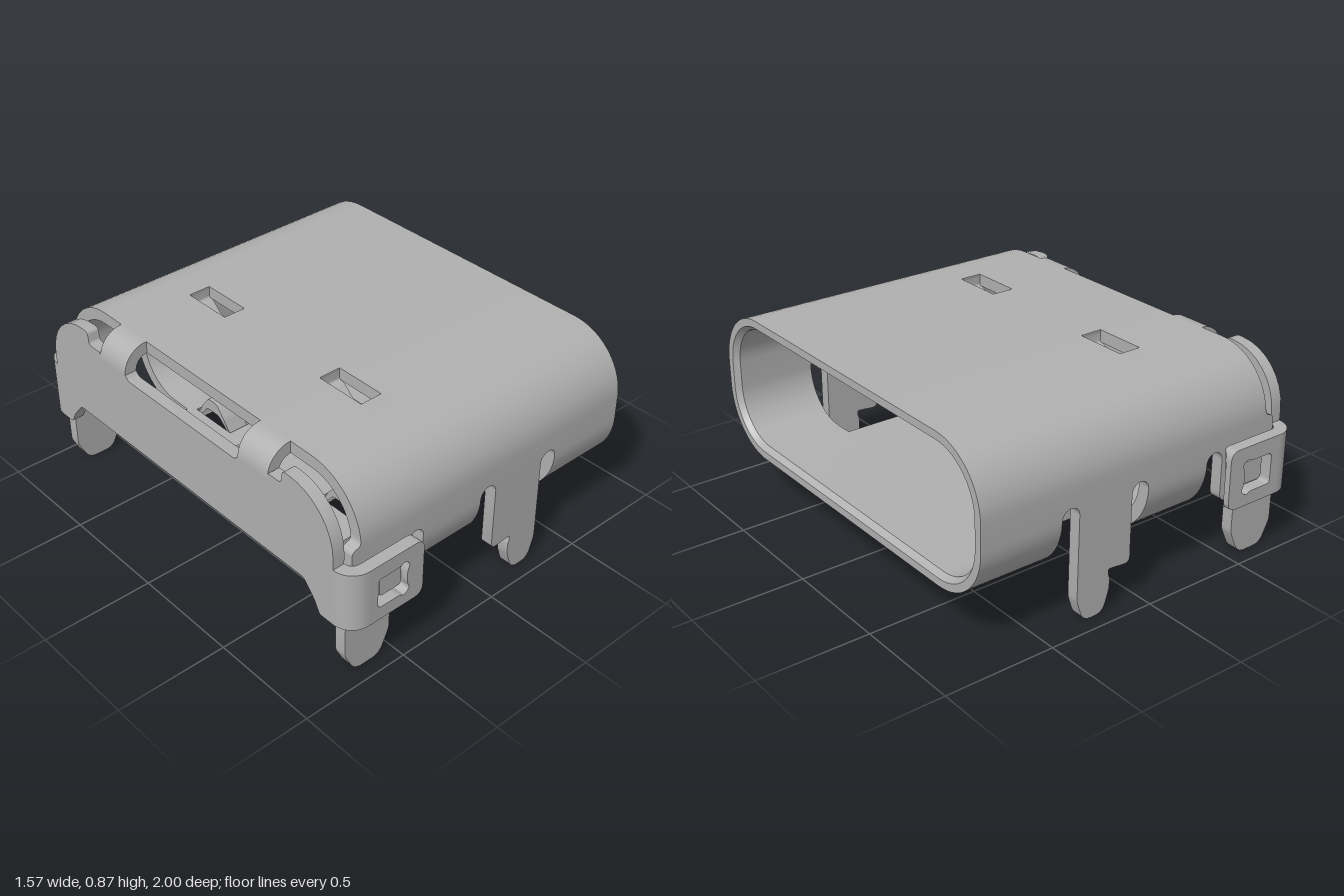
import * as THREE from 'three';
import { toCreasedNormals } from 'three/addons/utils/BufferGeometryUtils.js';

const T = 0.055; // sheet thickness
const R = 0.27, FLAT = 0.66, Y_HI = 0.6, Y_LO = 0.485, Y_BOTTOM = 0.215, Y_TOP = 0.87;
const ARC = R * Math.PI / 2;
// running lengths round half of the section, from top centre to bottom centre
const S1 = FLAT, S2 = S1 + ARC, S3 = S2 + Y_HI - Y_LO, S4 = S3 + ARC, S5 = S4 + FLAT;

const steel = new THREE.MeshStandardMaterial({ color: 0xb0b0b0 });
steel.name = 'steel';

// point of the half section at length s, moved inward by d
function section(s, d) {
  const r = R - d;
  if (s <= S1) return [s, Y_TOP - d];
  if (s <= S2) return [FLAT + r * Math.sin((s - S1) / R), Y_HI + r * Math.cos((s - S1) / R)];
  if (s <= S3) return [FLAT + r, Y_HI - (s - S2)];
  if (s <= S4) return [FLAT + r * Math.cos((s - S3) / R), Y_LO - r * Math.sin((s - S3) / R)];
  return [FLAT - (s - S4), Y_BOTTOM + d];
}

// openings in the shell: x range and section range
const LEG_TOP = S2 + Y_HI - 0.525;
const SLOT_R = 0.0425;
const slot = (x0, hi) => ({
  x0, x1: x0 + 2 * SLOT_R, hi, round: true,
  lo: x => LEG_TOP + SLOT_R - Math.sqrt(Math.max(0, SLOT_R ** 2 - (x - x0 - SLOT_R) ** 2)),
});
const cut = (x0, x1, lo, hi) => ({ x0, x1, lo: () => lo, hi });
const CUT_END = S4 + 0.09;
const gaps = [
  slot(-0.03, CUT_END), cut(0.055, 0.32, LEG_TOP, CUT_END), slot(0.32, CUT_END),
  slot(-0.43, CUT_END), cut(-0.5, -0.43, LEG_TOP, CUT_END), cut(-0.67, -0.5, LEG_TOP, S5),
  cut(-0.315, -0.21, 0.3, 0.54), cut(-0.315, -0.21, S5 - 0.54, S5 - 0.3),
  cut(-0.5, -0.4, S5 - 0.22, S5 - 0.07),
];

function shellGeometry() {
  const pos = [];
  let side = 1;
  const tri = (a, b, c) => {
    const same = (p, q) => Math.hypot(p[0] - q[0], p[1] - q[1], p[2] - q[2]) < 1e-6;
    if (same(a, b) || same(b, c) || same(a, c)) return;
    pos.push(...a, ...(side > 0 ? b : c), ...(side > 0 ? c : b));
  };
  const quad = (a, b, c, d) => { tri(a, b, c); tri(a, c, d); };
  const point = (x, s, inner) => {
    const [z, y] = section(s, inner ? (x > 0.78 ? 0.035 : T) : 0);
    return [x, y, z * side];
  };

  // breaks along the section and along x
  const breaks = [0];
  const N = 14;
  for (let i = 0; i <= N; i++) breaks.push(S1 + ARC * i / N);
  for (let i = 0; i <= N; i++) breaks.push(S3 + ARC * i / N);
  breaks.push(S5);
  let xs = [-0.67, 0.76, 0.785];
  for (const g of gaps) {
    xs.push(g.x0, g.x1);
    if (g.round) {
      for (let i = 1; i < 12; i++) xs.push(g.x0 + SLOT_R * (1 - Math.cos(Math.PI * i / 12)));
    }
  }
  xs = xs.sort((a, b) => a - b).filter((x, i, l) => !i || x - l[i - 1] > 1e-5);
  const active = i => {
    if (i < 0 || i > xs.length - 2) return null;
    const m = (xs[i] + xs[i + 1]) / 2;
    return gaps.filter(g => m > g.x0 && m < g.x1).sort((a, b) => a.hi - b.hi);
  };
  const differs = (a, b) => !b || a.length !== b.length || a.some((g, i) => g !== b[i]);

  for (side of [1, -1]) {
    for (let i = 0; i < xs.length - 1; i++) {
      const xa = xs[i], xb = xs[i + 1], open = active(i);
      const capA = differs(open, active(i - 1)), capB = differs(open, active(i + 1));
      for (let k = 0; k <= open.length; k++) {
        const lo = k ? open[k - 1].hi : 0;
        const hiA = k < open.length ? open[k].lo(xa) : S5;
        const hiB = k < open.length ? open[k].lo(xb) : S5;
        if (hiA <= lo) continue;
        const P = (s, inner) => point(xa, Math.min(Math.max(s, lo), hiA), inner);
        const Q = (s, inner) => point(xb, Math.min(Math.max(s, lo), hiB), inner);
        for (let j = 0; j < breaks.length - 1; j++) {
          const s = breaks[j], t = breaks[j + 1];
          quad(P(s), P(t), Q(t), Q(s));
          quad(P(s, 1), Q(s, 1), Q(t, 1), P(t, 1));
          if (capA) quad(P(s), P(s, 1), P(t, 1), P(t));
          if (capB) quad(Q(s), Q(t), Q(t, 1), Q(s, 1));
        }
        if (k) quad(P(lo), Q(lo), Q(lo, 1), P(lo, 1));
        if (k < open.length) quad(P(9), P(9, 1), Q(9, 1), Q(9));
      }
    }
  }
  const geo = new THREE.BufferGeometry();
  geo.setAttribute('position', new THREE.Float32BufferAttribute(pos, 3));
  return geo;
}

// polygon with softened corners; a point may carry its own radius
function roundPoly(points, radius = 0, Kind = THREE.Shape) {
  const shape = new Kind();
  const n = points.length;
  points.forEach((p, i) => {
    const v = new THREE.Vector2(p[0], p[1]);
    const toward = q => {
      const d = new THREE.Vector2(q[0], q[1]).sub(v);
      return v.clone().add(d.setLength(Math.min(p[2] ?? radius, d.length() * 0.49)));
    };
    const a = toward(points[(i + n - 1) % n]), b = toward(points[(i + 1) % n]);
    if (i) shape.lineTo(a.x, a.y); else shape.moveTo(a.x, a.y);
    shape.quadraticCurveTo(v.x, v.y, b.x, b.y);
  });
  shape.closePath();
  return shape;
}

// quarter band round (cx, cy) between two angles
function bandShape(cx, cy, r0, r1, a0, a1) {
  const pts = [];
  for (let i = 0; i <= 12; i++) pts.push([r1, a0 + (a1 - a0) * i / 12]);
  for (let i = 12; i >= 0; i--) pts.push([r0, a0 + (a1 - a0) * i / 12]);
  return new THREE.Shape(pts.map(([r, a]) => new THREE.Vector2(cx + r * Math.cos(a), cy + r * Math.sin(a))));
}

const extrude = (shape, depth) =>
  new THREE.ExtrudeGeometry(shape, { depth, bevelEnabled: false, curveSegments: 6 });
const alongZ = (shape, z0, z1, side = 1) =>
  extrude(shape, z1 - z0).translate(0, 0, side > 0 ? z0 : -z1);
const alongX = (shape, x0, x1) => extrude(shape, x1 - x0).rotateY(Math.PI / 2).translate(x0, 0, 0);
const alongY = (shape, y0, y1) => extrude(shape, y1 - y0).rotateX(-Math.PI / 2).translate(0, y0, 0);

export function createModel() {
  const model = new THREE.Group();
  const add = (name, geo) => {
    const mesh = new THREE.Mesh(toCreasedNormals(geo, 0.5), steel);
    mesh.name = name;
    model.add(mesh);
  };
  add('shell', shellGeometry());

  // back plate with shoulder lobes
  const half = [[0.74, 0.4, 0.02], [0.8, 0.33], [0.83, 0.275], [0.905, 0.275, 0], [0.905, 0.6, 0]];
  for (let i = 1; i <= 8; i++) {
    const a = Math.PI / 2 * i / 8;
    half.push([0.665 + 0.24 * Math.cos(a), 0.6 + 0.24 * Math.sin(a), 0]);
  }
  half.push([0.625, 0.84, 0.02], [0.62, 0.78, 0.02], [0.54, 0.78, 0.01], [0.54, 0.755, 0],
    [0.365, 0.755, 0], [0.345, 0.735, 0.01]);
  const mirrored = half.map(([z, y, r]) => [-z, y, r]).reverse();
  add('backPlate', alongX(roundPoly([...half, ...mirrored], 0.01), -0.785, -0.73));

  for (const side of [1, -1]) {
    // bend joining the shell top to the back plate
    add('topBend', alongZ(bandShape(-0.67, 0.755, 0.06, 0.115, Math.PI / 2, Math.PI), 0.365, 0.54, side));

    // side clip: bend and arm with window
    const a0 = side > 0 ? Math.PI : Math.PI / 2;
    add('clipBend', alongY(bandShape(-0.69, -side * 0.905, 0.04, 0.095, a0, a0 + Math.PI / 2), 0.275, 0.545));
    const arm = roundPoly([[-0.69, 0.275, 0], [-0.41, 0.275], [-0.41, 0.545], [-0.69, 0.545, 0]], 0.045);
    arm.holes.push(roundPoly([[-0.645, 0.335], [-0.53, 0.335], [-0.51, 0.32], [-0.48, 0.345], [-0.495, 0.375],
      [-0.495, 0.435], [-0.48, 0.465], [-0.51, 0.49], [-0.53, 0.475], [-0.645, 0.475]], 0.02, THREE.Path));
    const armGeo = alongZ(arm, 0.945, 1, side);
    const p = armGeo.attributes.position;
    for (let i = 0; i < p.count; i++) { // thinner tip
      if (Math.abs(p.getZ(i)) < 0.96 && p.getX(i) > -0.43) p.setZ(i, side * 0.972);
    }
    add('clipArm', armGeo);
    add('clipCatch', alongZ(roundPoly([[-0.615, 0.36], [-0.505, 0.36], [-0.505, 0.46], [-0.615, 0.46]], 0.015),
      0.92, 0.975, side));

    // solder legs
    add('rearLeg', alongZ(roundPoly([[-0.43, 0.525, 0], [-0.67, 0.525, 0], [-0.67, 0.635, 0], [-0.675, 0.61],
      [-0.715, 0.6], [-0.715, 0.29], [-0.745, 0.25], [-0.745, 0.1], [-0.695, 0, 0.04], [-0.565, 0, 0.04],
      [-0.515, 0.11], [-0.515, 0.275], [-0.43, 0.29, 0.04]], 0.02), 0.93 - T, 0.93, side));
    add('frontLeg', alongZ(roundPoly([[0.055, 0.525, 0], [0.055, 0.18, 0.03], [0.165, 0.19, 0.01],
      [0.165, 0.165, 0.01], [0.158, 0.15], [0.158, 0.1], [0.19, 0, 0.04], [0.29, 0, 0.04], [0.323, 0.1],
      [0.32, 0.525, 0]], 0.02), 0.93 - T, 0.93, side));

    // pressed-in spring bridges and bent tabs
    const bridge = (y, up) => roundPoly([[0.3, 0], [0.345, 0.105], [0.39, 0.16], [0.45, 0.16], [0.495, 0.105],
      [0.54, 0], [0.54, 0.055], [0.515, 0.055], [0.46, 0.105], [0.38, 0.105], [0.325, 0.055], [0.3, 0.055]]
      .slice(0, 12).map(([z, d]) => [-side * z, y + up * d]), 0.012);
    add('topSpring', alongX(bridge(Y_TOP, -1), -0.315, -0.21));
    add('bottomSpring', alongX(bridge(Y_BOTTOM, 1), -0.315, -0.21));
    add('bentTab', alongX(roundPoly([[0.25, 0.22], [0.25, 0.265], [0.105, 0.36], [0.075, 0.315], [0.22, 0.22]]
      .map(([z, y]) => [-side * z, y]), 0.005), -0.5, -0.4));
  }
  return model;
}
